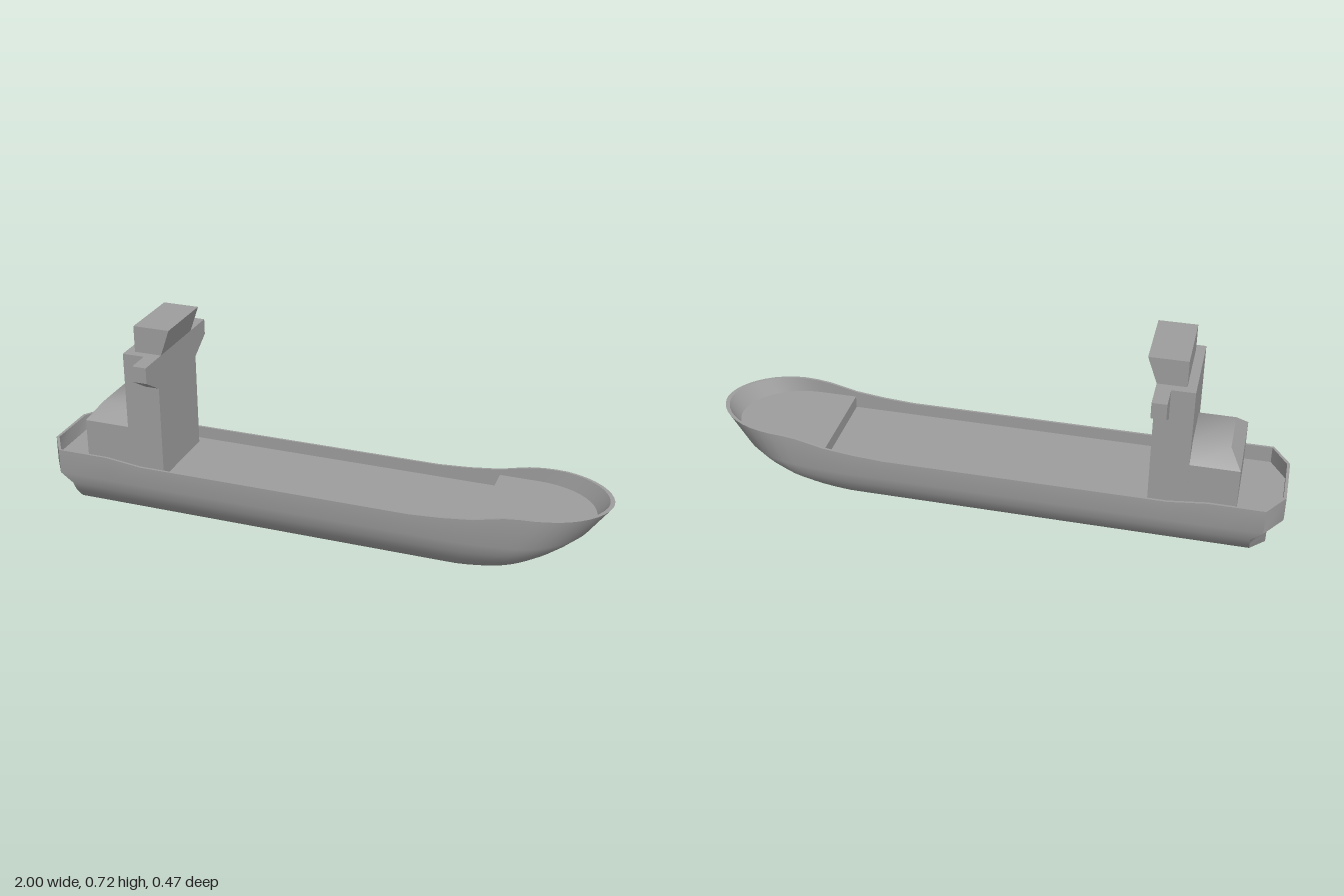
import * as THREE from 'three';
import { toCreasedNormals } from 'three/addons/utils/BufferGeometryUtils.js';

const material = new THREE.MeshStandardMaterial({ color: 0x9d9d9d, side: THREE.DoubleSide });
const MAIN_DECK = 0.175, FORE_DECK = 0.22, STEP_X = 0.58;

// Height of the bulwark rim along the length
const SHEER = [[-1, 0.235], [-0.75, 0.235], [-0.62, 0.22], [0.36, 0.22], [0.47, 0.227],
  [0.58, 0.24], [0.64, 0.255], [0.7, 0.268], [0.8, 0.273], [1, 0.275]];
function sheer(x) {
  for (let i = 1; i < SHEER.length; i++) {
    const [x0, y0] = SHEER[i - 1], [x1, y1] = SHEER[i];
    if (x <= x1) return y0 + (y1 - y0) * (x - x0) / (x1 - x0);
  }
  return 0.275;
}

// Longitudinal hull lines of one side, from the inner deck edge over the rim down to the keel.
// No y means the line follows the sheer.
const LINES = [
  { z: 0.182, y: MAIN_DECK, bow: 0.69, end: 0.915, endY: MAIN_DECK, corner: -0.935, stern: -0.99, sternZ: 0.096 },
  { z: 0.182, bow: 0.75, end: 0.985, corner: -0.935, stern: -0.99, sternZ: 0.096 },
  { z: 0.19, bow: 0.75, end: 1, corner: -0.94, stern: -1, sternZ: 0.1 },
  { z: 0.19, y: 0.145, bow: 0.7, end: 0.93, endY: 0.18, corner: -0.94, stern: -1, sternZ: 0.1 },
  { z: 0.178, y: 0.103, bow: 0.68, end: 0.89, endY: 0.145, corner: -0.9, stern: -0.95, sternZ: 0.1 },
  { z: 0.158, y: 0.065, bow: 0.65, end: 0.85, endY: 0.112, corner: -0.9, stern: -0.95, sternZ: 0.09 },
  { z: 0.12, y: 0.023, bow: 0.62, end: 0.8, endY: 0.075, corner: -0.9, stern: -0.95, sternZ: 0.07 },
  { z: 0, y: 0, bow: 0.62, end: 0.775, endY: 0.052, corner: -0.9, stern: -0.95, sternZ: 0 },
];

// Half breadth: parallel sides closing with a slightly pointed elliptic bow
function breadth(z, bow, end, x) {
  const t = THREE.MathUtils.clamp((x - bow) / (end - bow), 0, 1);
  return z * Math.pow(1 - t * t, 0.53);
}

function linePoint(l, x) {
  const s = THREE.MathUtils.clamp((x - 0.5) / (l.end - 0.5), 0, 1);
  const y = l.y === undefined ? sheer(x) : l.y + (l.endY - l.y) * Math.pow(s, 1.5);
  return [x, y, breadth(l.z, l.bow, l.end, x)];
}

// Cross-sections from the transom centre to the stem
function hullSections() {
  const sections = [
    LINES.map(l => [l.stern, l.y ?? sheer(l.stern), 0]),
    LINES.map(l => [l.stern, l.y ?? sheer(l.stern), l.sternZ]),
    LINES.map(l => linePoint(l, l.corner)),
  ];
  for (const x of [-0.75, -0.62, -0.2, 0.1, 0.36]) sections.push(LINES.map(l => linePoint(l, x)));
  const steps = 18;
  for (let i = 1; i <= steps; i++) {
    const u = Math.sin(i / steps * Math.PI / 2);
    sections.push(LINES.map(l => linePoint(l, 0.36 + (l.end - 0.36) * u)));
  }
  return sections;
}

function loft(sections) {
  const n = sections[0].length, index = [];
  for (let i = 0; i < sections.length - 1; i++) {
    for (let j = 0; j < n - 1; j++) {
      const a = i * n + j, b = a + 1, c = a + n, d = c + 1;
      index.push(a, b, c, b, d, c);
    }
  }
  const g = new THREE.BufferGeometry();
  g.setAttribute('position', new THREE.Float32BufferAttribute(sections.flat(2), 3));
  g.setIndex(index);
  return toCreasedNormals(g, 0.75);
}

// Flat deck from half-outline points [x, z], mirrored across the centreline
function deck(half, y) {
  const other = half.map(([x, z]) => [x, -z]).reverse();
  const shape = new THREE.Shape([...half, ...other].map(([x, z]) => new THREE.Vector2(x, z)));
  return new THREE.ShapeGeometry(shape).rotateX(-Math.PI / 2).translate(0, y, 0);
}

// Box whose bottom and top are separate rectangles: { x0, x1, z, y }.
// Edges gentler than 0.8 radians are shaded smooth.
function block(bottom, top) {
  const g = new THREE.BoxGeometry(1, 1, 1), p = g.attributes.position;
  for (let i = 0; i < p.count; i++) {
    const r = p.getY(i) > 0 ? top : bottom;
    p.setXYZ(i, p.getX(i) > 0 ? r.x1 : r.x0, r.y, Math.sign(p.getZ(i)) * r.z);
  }
  return toCreasedNormals(g, 0.8);
}

export function createModel() {
  const ship = new THREE.Group();
  ship.name = 'cargoShip';
  const add = (name, geometry) => {
    const mesh = new THREE.Mesh(geometry, material);
    mesh.name = name;
    ship.add(mesh);
    return mesh;
  };

  // Hull with bulwark, both sides in one skin
  add('hull', loft(hullSections().map(half => [
    ...half, ...half.slice(0, -1).reverse().map(([x, y, z]) => [x, y, -z]),
  ])));

  // Decks
  add('mainDeck', deck([[-0.992, 0.098], [-0.937, 0.184], [STEP_X, 0.184]], MAIN_DECK));
  const fore = [[STEP_X, 0.184]];
  for (let i = 0; i < 16; i++) {
    const x = 0.72 + 0.233 * Math.sin(i / 16 * Math.PI / 2);
    fore.push([x, breadth(0.184, 0.72, 0.953, x)]);
  }
  add('foreDeck', deck(fore, FORE_DECK));
  add('deckStep', new THREE.PlaneGeometry(0.368, FORE_DECK - MAIN_DECK).rotateY(-Math.PI / 2)
    .translate(STEP_X, (FORE_DECK + MAIN_DECK) / 2, 0));

  // Superstructure
  const tower = { x0: -0.677, x1: -0.548, z: 0.15 };
  add('tower', block({ ...tower, y: MAIN_DECK }, { ...tower, y: 0.628 }));
  add('wheelhouse', block({ x0: -0.646, x1: -0.548, z: 0.12, y: 0.628 }, { x0: -0.646, x1: -0.515, z: 0.12, y: 0.722 }));

  const house = { x0: -0.843, x1: -0.677, z: 0.149 };
  add('aftHouse', block({ ...house, y: MAIN_DECK }, { ...house, y: 0.35 }));
  add('aftHouseRoof', block({ ...house, y: 0.35 }, { x0: -0.803, x1: -0.677, z: 0.09, y: 0.402 }));

  // Bridge wings
  for (const side of [1, -1]) {
    const profile = [[0.15, 0.517], [0.237, 0.571], [0.237, 0.628], [0.15, 0.628]];
    const shape = new THREE.Shape(profile.map(([z, y]) => new THREE.Vector2(side * z, y)));
    const g = new THREE.ExtrudeGeometry(shape, { depth: 0.05, bevelEnabled: false }).rotateY(-Math.PI / 2);
    add(side > 0 ? 'leftBridgeWing' : 'rightBridgeWing', g).position.x = -0.548;
  }
  return ship;
}
